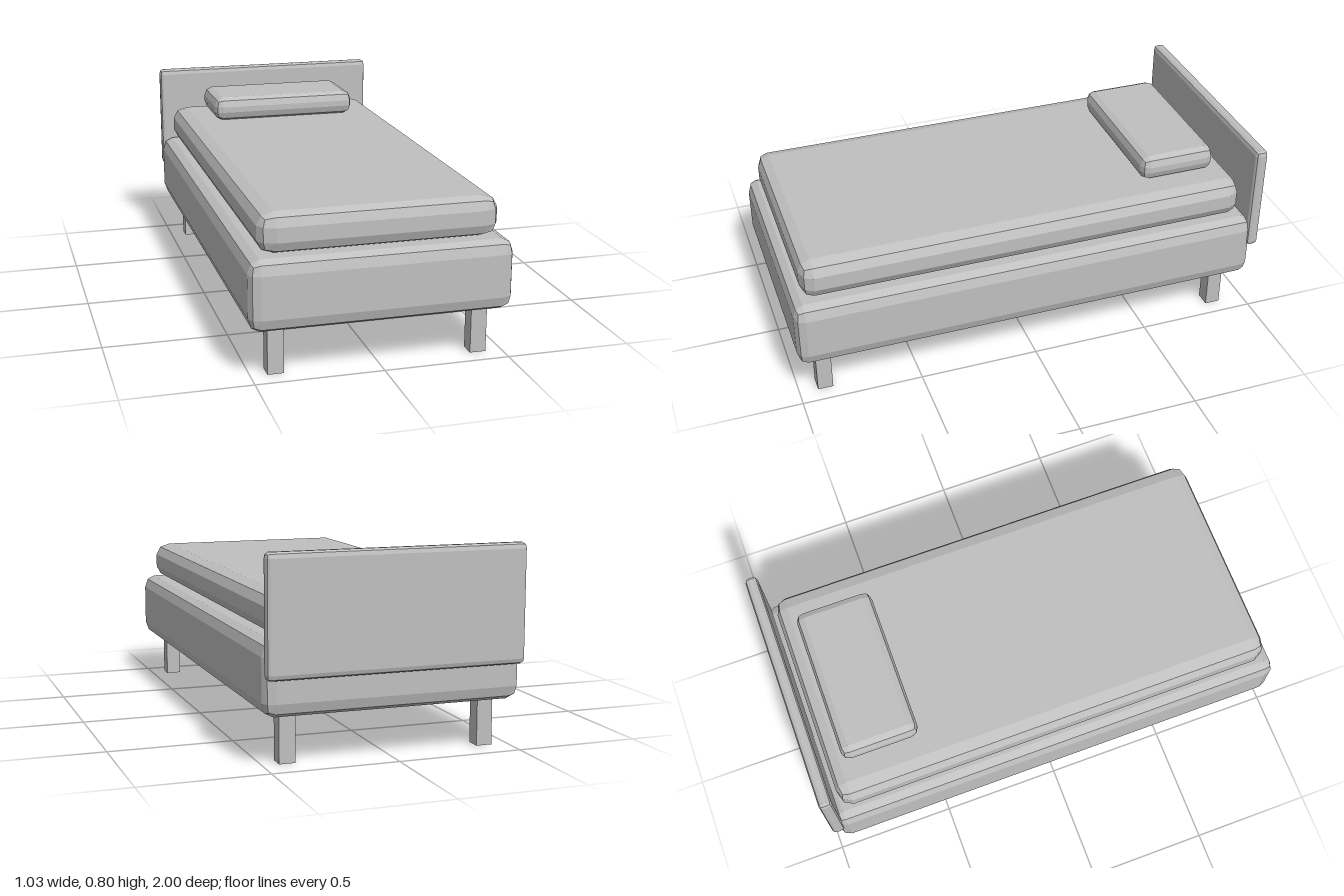
import * as THREE from 'three';

// Box between two corners with two-step faceted bevels, one radius per axis
function bevelBox(min, max, radius) {
  const lo = new THREE.Vector3(...min), hi = new THREE.Vector3(...max);
  const centre = lo.clone().add(hi).multiplyScalar(0.5);
  const half = hi.clone().sub(lo).multiplyScalar(0.5);
  const r = new THREE.Vector3(...radius);
  const core = half.clone().sub(r);
  const indexed = new THREE.BoxGeometry(1, 1, 1, 3, 3, 3);
  const pos = indexed.attributes.position;
  const p = new THREE.Vector3(), s = new THREE.Vector3();
  for (let i = 0; i < pos.count; i++) {
    p.fromBufferAttribute(pos, i);
    s.set(Math.sign(p.x), Math.sign(p.y), Math.sign(p.z));
    // inner grid lines point straight out, border lines lean into the bevel
    p.set(...p.toArray().map((v) => (Math.abs(v) > 0.4 ? Math.sign(v) : 0)));
    p.normalize().multiply(r).add(s.multiply(core)).add(centre);
    pos.setXYZ(i, p.x, p.y, p.z);
  }
  const geometry = indexed.toNonIndexed();
  geometry.computeVertexNormals();
  return geometry;
}

export function createModel() {
  const bed = new THREE.Group();
  bed.name = 'bed';

  const grey = new THREE.MeshStandardMaterial({ color: 0xc0c0c0 });
  grey.name = 'grey';

  const add = (name, geometry) => {
    const mesh = new THREE.Mesh(geometry, grey);
    mesh.name = name;
    bed.add(mesh);
    return mesh;
  };

  // Upholstered parts
  add('base', bevelBox([-0.515, 0.19, -0.97], [0.515, 0.47, 1], [0.045, 0.055, 0.04]));
  add('mattress', bevelBox([-0.468, 0.472, -0.925], [0.468, 0.63, 0.955], [0.065, 0.05, 0.05]));
  add('pillow', bevelBox([-0.326, 0.63, -0.855], [0.326, 0.735, -0.53], [0.035, 0.04, 0.035]));
  add('headboard', bevelBox([-0.515, 0.335, -1], [0.515, 0.8, -0.948], [0.015, 0.022, 0.018]));

  // Four square legs
  const legShape = new THREE.BoxGeometry(0.064, 0.2, 0.063);
  for (const [end, z] of [['front', 0.892], ['back', -0.857]]) {
    for (const [side, x] of [['Left', 0.403], ['Right', -0.403]]) {
      add(`${end}${side}Leg`, legShape).position.set(x, 0.1, z);
    }
  }
  return bed;
}
